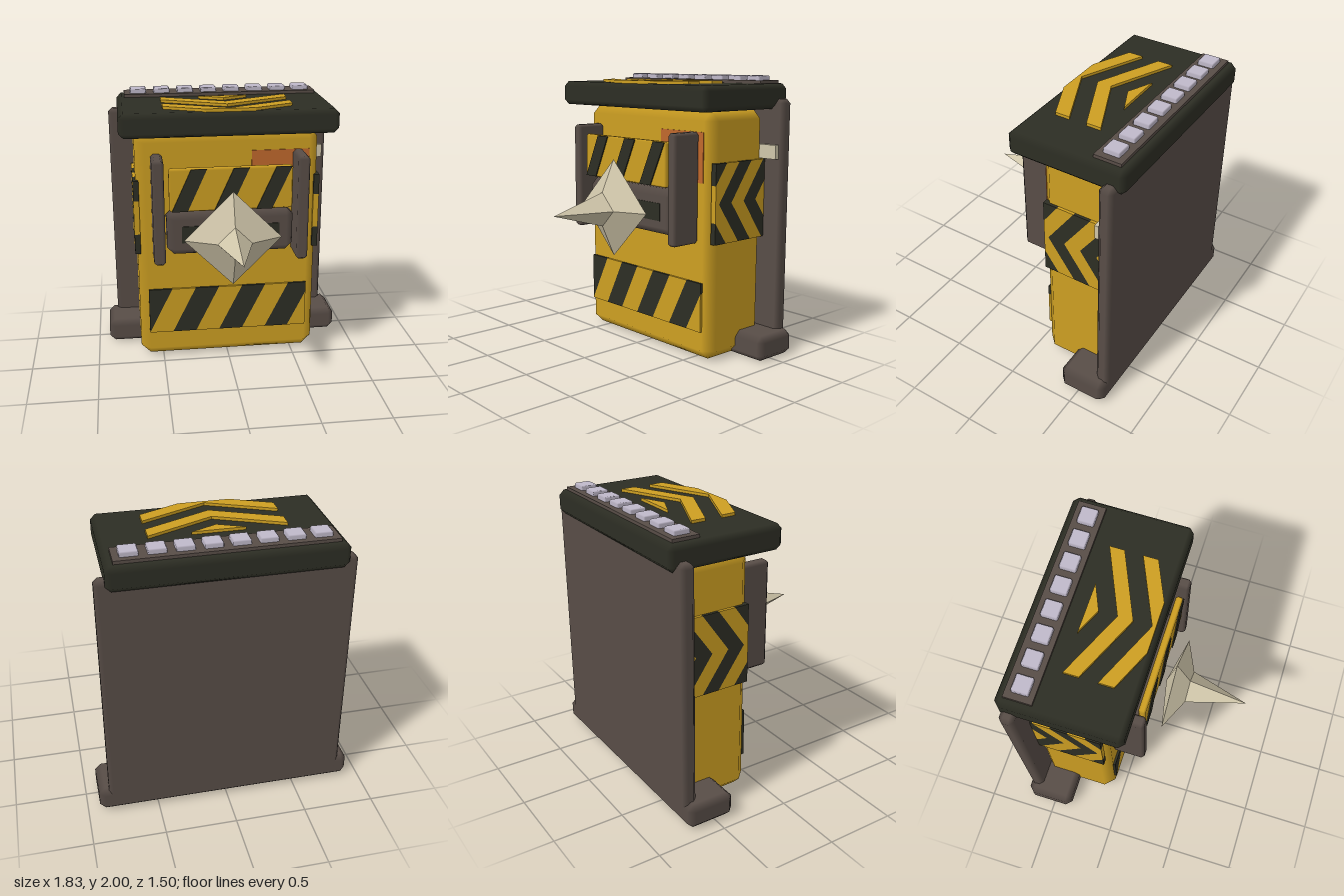
import * as THREE from 'three';
import { ConvexGeometry } from 'three/addons/geometries/ConvexGeometry.js';

const paint = (name, hex) => {
  const m = new THREE.MeshStandardMaterial({ color: hex });
  m.name = name;
  return m;
};

// Box with flat 45 degree chamfers; normals blend softly across the chamfer
function chamferBox(w, h, d, c) {
  if (!c) return new THREE.BoxGeometry(w, h, d);
  const half = [w / 2, h / 2, d / 2];
  const points = [];
  for (const sx of [-1, 1]) for (const sy of [-1, 1]) for (const sz of [-1, 1]) {
    const s = [sx, sy, sz];
    for (let axis = 0; axis < 3; axis++) {
      points.push(new THREE.Vector3(...half.map((v, i) => s[i] * (i === axis ? v : v - c))));
    }
  }
  const geo = new ConvexGeometry(points);
  const p = geo.attributes.position, n = geo.attributes.normal;
  for (let i = 0; i < p.count; i++) {
    const v = [p.getX(i), p.getY(i), p.getZ(i)];
    n.setXYZ(i, ...v.map((q, k) => (Math.abs(q) > half[k] - 1e-4 ? Math.sign(q) : 0)));
  }
  return geo;
}

// Keep the part of a convex polygon whose first coordinate lies in [lo, hi]
function clip(poly, lo, hi) {
  for (const [limit, side] of [[lo, 1], [hi, -1]]) {
    const out = [];
    poly.forEach((a, i) => {
      const b = poly[(i + 1) % poly.length];
      const da = (a[0] - limit) * side, db = (b[0] - limit) * side;
      if (da >= 0) out.push(a);
      if (da * db < 0) {
        const t = da / (da - db);
        out.push([limit, a[1] + (b[1] - a[1]) * t]);
      }
    });
    poly = out;
  }
  return poly;
}

function slab(poly, depth) {
  const shape = new THREE.Shape(poly.map(([x, y]) => new THREE.Vector2(x, y)));
  return new THREE.ExtrudeGeometry(shape, { depth, bevelEnabled: false });
}

export function createModel() {
  const yellow = paint('safetyYellow', 0xcd9f22);
  const dark = paint('darkOlive', 0x2d2e24);
  const brown = paint('brownMetal', 0x584d47);
  const cream = paint('paleBone', 0xd0c6aa);
  const orange = paint('rustOrange', 0xc0682c);
  const lilac = paint('lampLilac', 0xc0b9ca);

  const model = new THREE.Group();
  model.name = 'spikedMachine';
  const add = (name, geo, mat, parent = model) => {
    const mesh = new THREE.Mesh(geo, mat);
    mesh.name = name;
    parent.add(mesh);
    return mesh;
  };
  const box = (name, mat, [x0, x1], [y0, y1], [z0, z1], c = 0) => {
    const mesh = add(name, chamferBox(x1 - x0, y1 - y0, z1 - z0, c), mat);
    mesh.position.set((x0 + x1) / 2, (y0 + y1) / 2, (z0 + z1) / 2);
    return mesh;
  };
  const group = (name) => {
    const g = new THREE.Group();
    g.name = name;
    model.add(g);
    return g;
  };

  // Main masses
  box('body', yellow, [-0.67, 0.67], [0.003, 1.77], [-0.64, -0.08], 0.07);
  box('backPanel', brown, [-0.845, 0.845], [0.02, 1.84], [-0.712, -0.61], 0.03);
  box('baseBar', brown, [-0.915, 0.915], [0, 0.18], [-0.71, -0.36], 0.042);
  box('roof', dark, [-0.777, 0.777], [1.77, 1.945], [-0.752, 0.093], 0.036);

  // Roof lamps
  box('lampStrip', brown, [-0.72, 0.72], [1.94, 1.967], [-0.7, -0.507]);
  for (let i = 0; i < 8; i++) {
    const x = (i - 3.5) * 0.176;
    box('lamp', lilac, [x - 0.06, x + 0.06], [1.96, 2], [-0.66, -0.543], 0.008);
  }

  // Roof chevrons: half bands clipped front and back, first coordinate is z
  const roofMarks = group('roofChevrons');
  for (const tip of [-0.425, -0.195, 0.035]) {
    for (const side of [-1, 1]) {
      const x = side * 0.46;
      const half = clip([[tip, 0], [tip + 0.105, 0], [tip - 0.1, x], [tip - 0.205, x]], -0.4, 0.06);
      if (half.length < 3) continue;
      const mark = add('chevronHalf', slab(half.map(([z, px]) => [px, -z]), 0.025), yellow, roofMarks);
      mark.rotation.x = -Math.PI / 2;
      mark.position.y = 1.94;
    }
  }

  // Lower hazard plate made of slanted alternating bands
  const lowerPlate = group('lowerHazardPlate');
  for (let k = 0; k < 8; k++) {
    const x = -0.78 + k * 0.1775, w = 0.1775;
    const band = clip([[x, 0.215], [x + w, 0.215], [x + 2 * w, 0.57], [x + w, 0.57]], -0.602, 0.602);
    if (band.length < 3) continue;
    add('band', slab(band, 0.02), k % 2 ? yellow : dark, lowerPlate).position.z = -0.083;
  }

  // Upper hazard plate with three painted stripes
  box('upperHazardPlate', yellow, [-0.442, 0.442], [1.245, 1.56], [0.075, 0.127], 0.014);
  for (const x of [-0.425, -0.123, 0.18]) {
    const stripe = slab([[x, 1.25], [x + 0.112, 1.25], [x + 0.252, 1.557], [x + 0.14, 1.557]], 0.009);
    add('upperStripe', stripe, dark).position.z = 0.127;
  }

  // Side plates: alternating chevron bands pointing forward
  for (const side of [-1, 1]) {
    const plate = group(side > 0 ? 'leftChevronPlate' : 'rightChevronPlate');
    for (let k = -2; k < 4; k++) {
      const tip = 0.143 + k * 0.125;
      for (const dir of [-1, 1]) {
        const y = 1.133 + dir * 0.282;
        const half = clip([[tip, 1.133], [tip + 0.125, 1.133], [tip + 0.325, y], [tip + 0.2, y]], 0.11, 0.612);
        if (half.length < 3) continue;
        const mesh = add('chevronHalf', slab(half, 0.042), k % 2 ? yellow : dark, plate);
        mesh.rotation.y = Math.PI / 2;
        mesh.position.x = side > 0 ? 0.648 : -0.69;
      }
    }
  }

  // Front fittings
  for (const side of [-1, 1]) {
    const x = side * 0.518;
    box('guardPost', brown, [x - 0.042, x + 0.042], [0.85, 1.625], [-0.085, 0.152], 0.02);
  }
  box('spikeMount', brown, [-0.46, 0.46], [0.9, 1.225], [-0.1, 0.095], 0.05);
  box('mountSlot', dark, [-0.355, 0.355], [1.0, 1.125], [0.093, 0.1]);
  box('rustPatch', orange, [0.175, 0.6], [1.275, 1.625], [-0.083, -0.074]);
  box('sideTab', cream, [0.6, 0.812], [1.42, 1.52], [-0.62, -0.577]);

  // Four-sided faceted spike
  const profile = [[0, 0.15], [0.35, 0.22], [0.122, 0.325], [0, 0.748]];
  const spike = new THREE.LatheGeometry(profile.map(([r, z]) => new THREE.Vector2(r, z)), 4).toNonIndexed();
  spike.computeVertexNormals();
  spike.rotateX(Math.PI / 2);
  add('spike', spike, cream).position.y = 1.063;

  return model;
}
